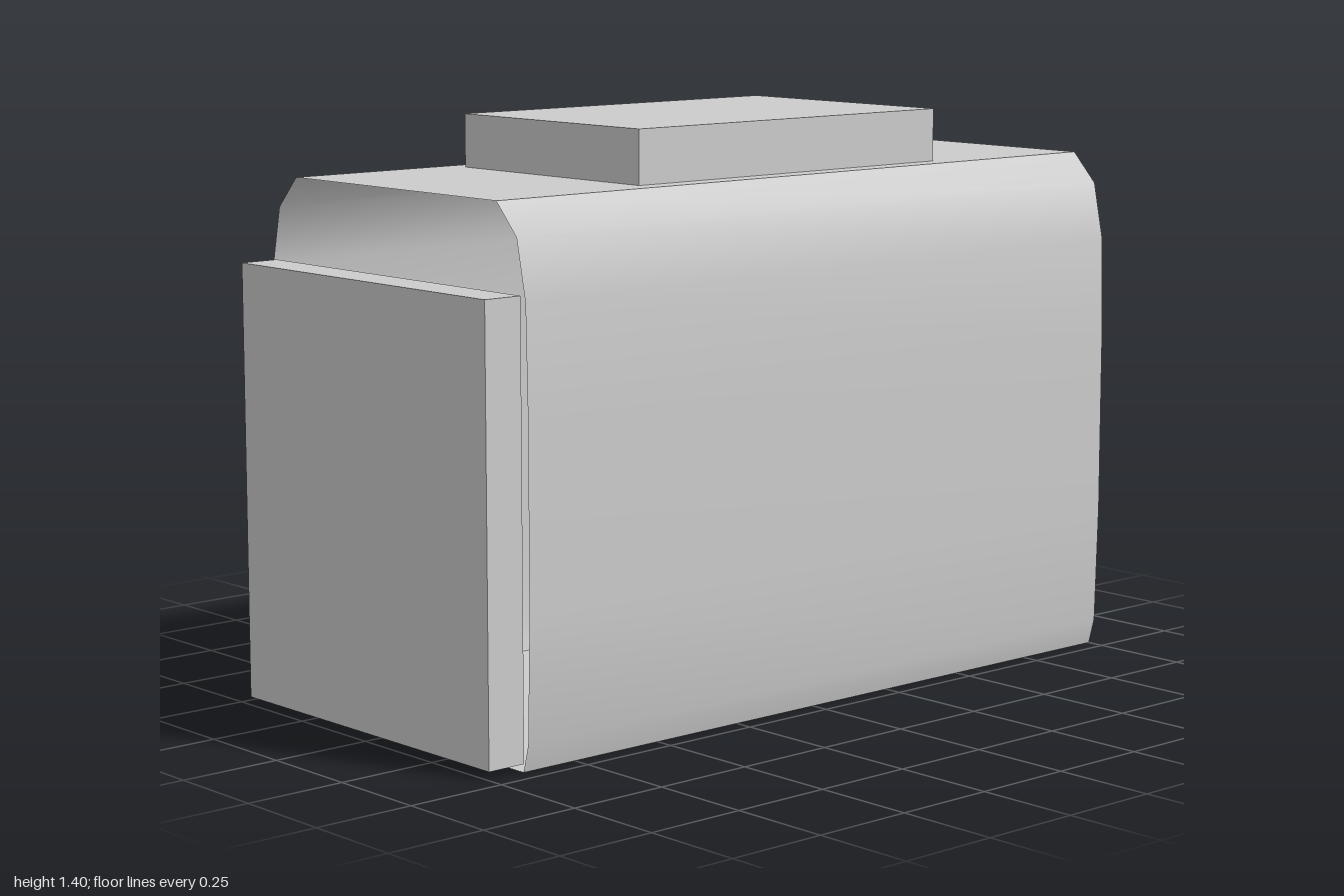
import * as THREE from 'three';
import { toCreasedNormals } from 'three/addons/utils/BufferGeometryUtils.js';

const grey = new THREE.MeshStandardMaterial({ color: 0xcccccc, side: THREE.DoubleSide });
grey.name = 'plain grey';

// Right half of the housing outline, from floor to roof
const HALF = [
  [0.455, 0], [0.472, 0.065], [0.48, 0.36], [0.48, 0.8],
  [0.474, 1.06], [0.445, 1.2], [0.375, 1.275],
];

// Open-ended sleeve swept along z through the mirrored outline
function sleeve(half, zBack, zFront) {
  const ring = [...half, ...half.map(([x, y]) => [-x, y]).reverse()];
  const positions = [];
  ring.forEach(([ax, ay], i) => {
    const [bx, by] = ring[(i + 1) % ring.length];
    positions.push(ax, ay, zBack, bx, by, zBack, bx, by, zFront);
    positions.push(ax, ay, zBack, bx, by, zFront, ax, ay, zFront);
  });
  const geometry = new THREE.BufferGeometry();
  geometry.setAttribute('position', new THREE.Float32BufferAttribute(positions, 3));
  return toCreasedNormals(geometry, 0.6);
}

// Box given by its lower and upper limits
function block(min, max) {
  const size = max.map((v, i) => v - min[i]);
  const centre = max.map((v, i) => (v + min[i]) / 2);
  return new THREE.BoxGeometry(...size).translate(...centre);
}

export function createModel() {
  const model = new THREE.Group();
  const add = (name, geometry) => {
    const mesh = new THREE.Mesh(geometry, grey);
    mesh.name = name;
    model.add(mesh);
  };

  add('housing', sleeve(HALF, -1, 0.9));
  add('frontPanel', block([-0.46, 0.02, 0.9], [0.457, 1.073, 1]));
  add('roofUnit', block([-0.322, 1.275, -0.535], [0.32, 1.405, 0.435]));

  return model;
}
